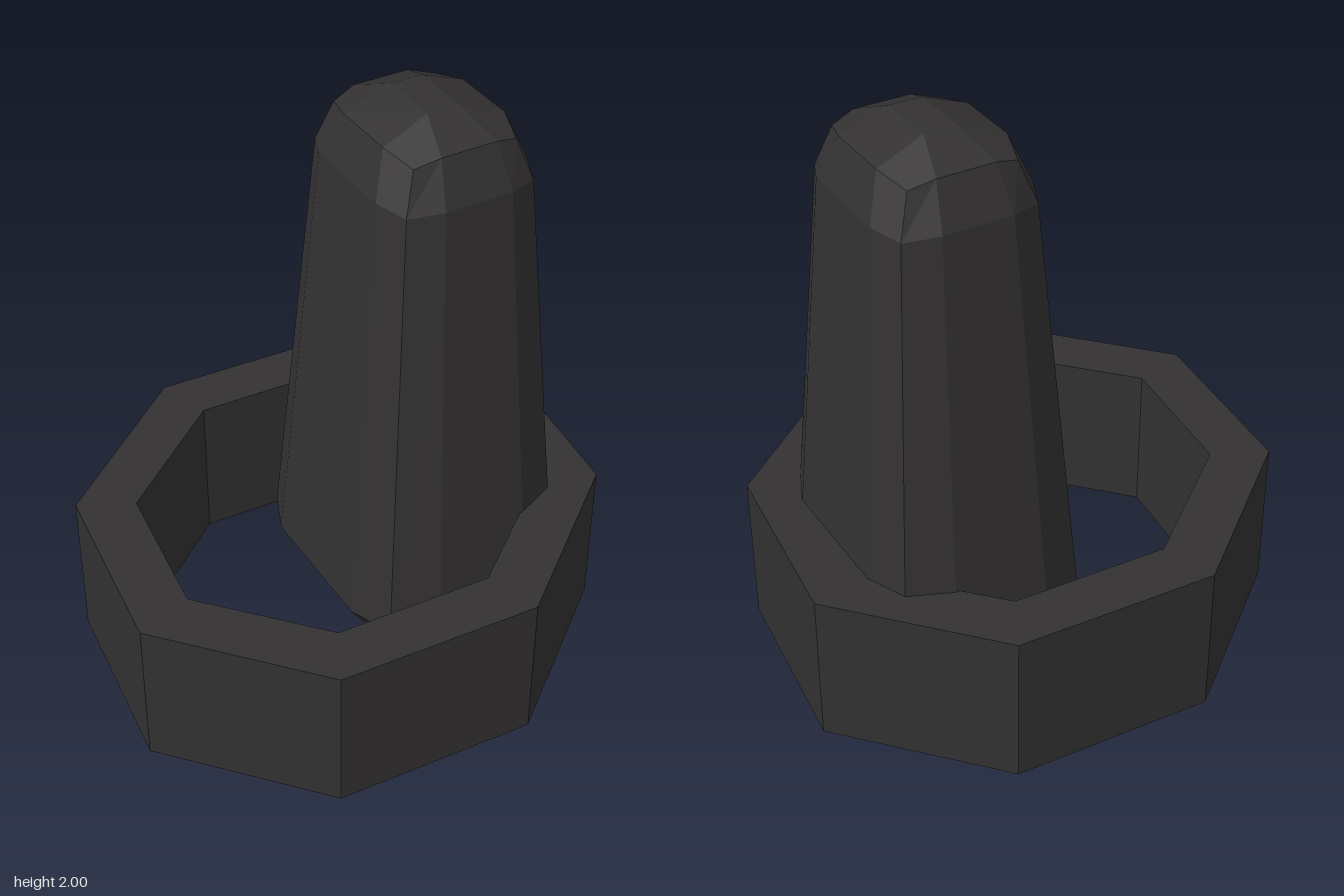
import * as THREE from 'three';

const material = new THREE.MeshStandardMaterial({ color: 0x333131, flatShading: true });

// Eight-sided outline stretched to the given radii
function octagon(rx, rz) {
  return Array.from({ length: 8 }, (_, i) => {
    const a = (i * Math.PI) / 4;
    return new THREE.Vector2(rx * Math.cos(a), rz * Math.sin(a));
  });
}

// Mirror one corner (three [x, z] points) into a closed loop of twelve.
// drop lowers the middle point of each corner.
function cornerLoop(corner, y, scale = 1, drop = 0) {
  const loop = [];
  [[1, 1], [-1, 1], [-1, -1], [1, -1]].forEach(([sx, sz], q) => {
    const order = q % 2 ? [2, 1, 0] : [0, 1, 2];
    order.forEach((k) => {
      const [x, z] = corner[k];
      loop.push([sx * x * scale, k === 1 ? y - drop : y, sz * z * scale]);
    });
  });
  return loop;
}

// Skin the loops from bottom to top and close both ends
function loft(loops) {
  const n = loops[0].length;
  const index = [];
  for (let r = 0; r < loops.length - 1; r++) {
    for (let i = 0; i < n; i++) {
      const a = r * n + i, b = r * n + ((i + 1) % n);
      index.push(a, a + n, b, b, a + n, b + n);
    }
  }
  const top = (loops.length - 1) * n;
  for (let i = 1; i < n - 1; i++) {
    index.push(0, i, i + 1, top, top + i + 1, top + i);
  }
  const geometry = new THREE.BufferGeometry();
  geometry.setAttribute('position', new THREE.Float32BufferAttribute(loops.flat(2), 3));
  geometry.setIndex(index);
  const flat = geometry.toNonIndexed();
  flat.computeVertexNormals();
  return flat;
}

export function createModel() {
  const group = new THREE.Group();

  // Open octagonal collar
  const shape = new THREE.Shape(octagon(0.94, 0.865));
  shape.holes.push(new THREE.Path(octagon(0.73, 0.66).reverse()));
  const collarGeometry = new THREE.ExtrudeGeometry(shape, { depth: 0.55, bevelEnabled: false });
  collarGeometry.rotateX(-Math.PI / 2);
  const collar = new THREE.Mesh(collarGeometry, material);
  collar.name = 'collar';
  collar.position.y = 0.005;
  group.add(collar);

  // Tapered, rounded post standing off-centre inside the collar
  const body = [[0.4, 0.255], [0.335, 0.407], [0.175, 0.475]];
  const shoulder = [[0.22, 0.12], [0.185, 0.24], [0.1, 0.26]];
  const crown = [[0.057, 0.108], [0.057, 0.108], [0.057, 0.108]];
  const post = new THREE.Mesh(loft([
    cornerLoop(shoulder, 0, 1.18),
    cornerLoop(shoulder, 0.05, 1.42, -0.02),
    cornerLoop(body, 0.2),
    cornerLoop(body, 1.785, 0.69, 0.015),
    cornerLoop(shoulder, 1.935, 1, 0.025),
    cornerLoop(crown, 2),
  ]), material);
  post.name = 'post';
  post.position.set(0.315, 0, 0.072);
  post.rotation.y = -Math.PI / 10;
  group.add(post);

  return group;
}
